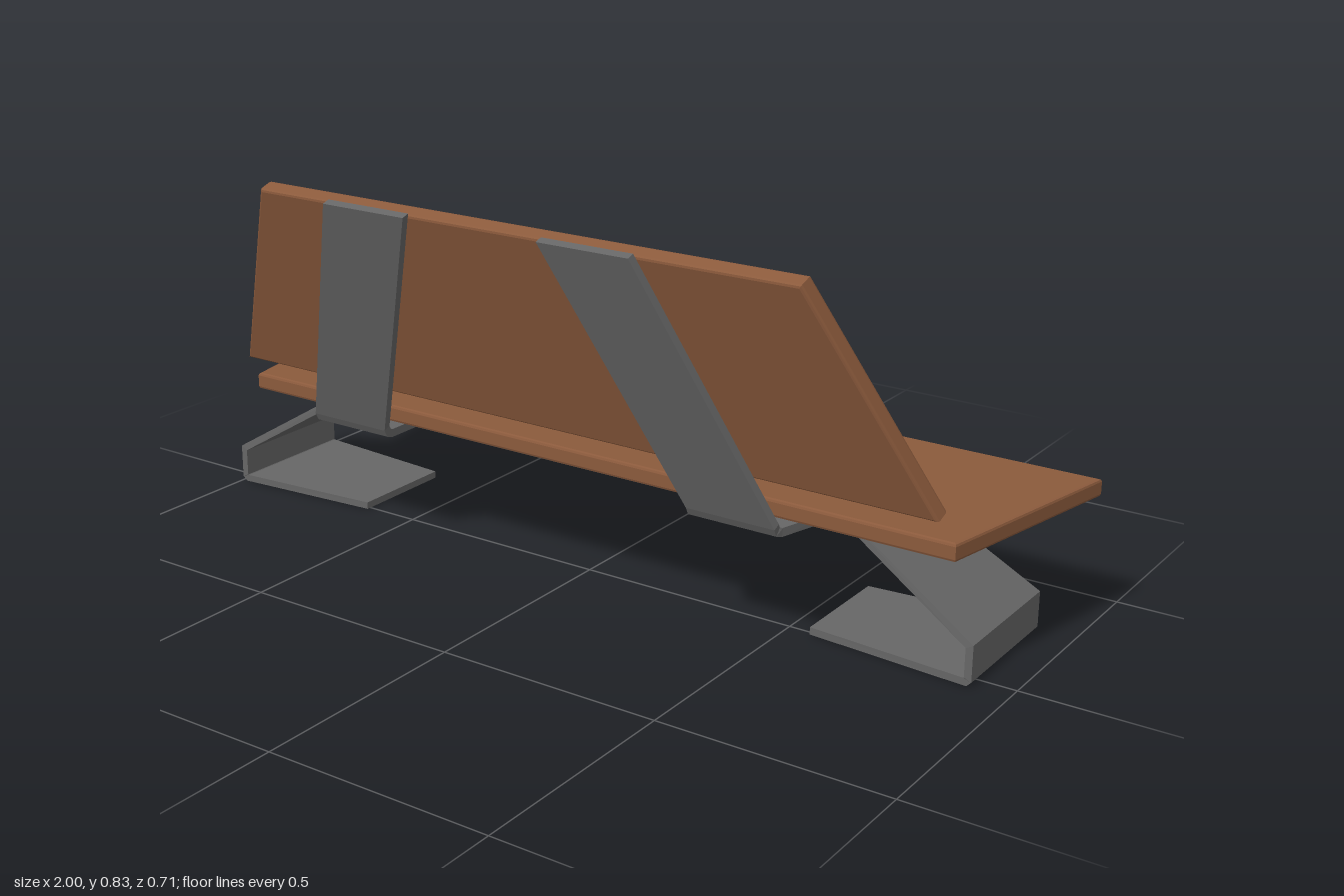
import * as THREE from 'three';

const BOARD_X = 0.03;     // centre of the wooden boards
const SUPPORT_X = -0.038; // centre of the pair of steel supports

// Board with a symmetric trapezoid outline, slightly softened edges, centred on its thickness
function board(bottomHalf, topHalf, height, thickness) {
  const bevel = 0.006;
  const shape = new THREE.Shape([
    new THREE.Vector2(-bottomHalf, 0), new THREE.Vector2(bottomHalf, 0),
    new THREE.Vector2(topHalf, height), new THREE.Vector2(-topHalf, height),
  ]);
  const geo = new THREE.ExtrudeGeometry(shape, {
    depth: thickness - 2 * bevel, bevelEnabled: true, bevelThickness: bevel,
    bevelSize: bevel, bevelOffset: -bevel, bevelSegments: 2,
  });
  return geo.translate(0, 0, bevel - thickness / 2);
}

// Folded plate: follows path rows [u, v, lo, hi] with mitred bends; place() maps (u, v, w) to x, y, z
function foldedPlate(path, thickness, place, flip) {
  const h = thickness / 2;
  const normal = (a, b) => new THREE.Vector2(a[1] - b[1], b[0] - a[0]).normalize();
  const rings = path.map((p, i) => {
    const n1 = normal(path[Math.max(i - 1, 0)], path[Math.max(i, 1)]);
    const last = path.length - 1;
    const n2 = normal(path[Math.min(i, last - 1)], path[Math.min(i + 1, last)]);
    const m = n1.clone().add(n2).normalize();
    m.multiplyScalar(h / m.dot(n1));
    const [u, v, lo, hi] = p;
    return [
      place(u + m.x, v + m.y, lo), place(u + m.x, v + m.y, hi),
      place(u - m.x, v - m.y, hi), place(u - m.x, v - m.y, lo),
    ];
  });
  const pos = [];
  const quad = (a, b, c, d) => {
    const order = flip ? [a, c, b, a, d, c] : [a, b, c, a, c, d];
    order.forEach((q) => pos.push(...q));
  };
  for (let i = 0; i < rings.length - 1; i++) {
    for (let k = 0; k < 4; k++) {
      const n = (k + 1) % 4;
      quad(rings[i][k], rings[i][n], rings[i + 1][n], rings[i + 1][k]);
    }
  }
  quad(...rings[0].slice().reverse());
  quad(...rings[rings.length - 1]);
  const geo = new THREE.BufferGeometry();
  geo.setAttribute('position', new THREE.Float32BufferAttribute(pos, 3));
  geo.computeVertexNormals();
  return geo;
}

export function createModel() {
  const wood = new THREE.MeshStandardMaterial({ color: 0x8b5a3c });
  wood.name = 'wood';
  const steel = new THREE.MeshStandardMaterial({ color: 0x666666 });
  steel.name = 'steel';

  const model = new THREE.Group();
  model.name = 'bench';
  const add = (parent, name, geo, mat) => {
    const mesh = new THREE.Mesh(geo, mat);
    mesh.name = name;
    parent.add(mesh);
    return mesh;
  };

  // Seat: laid flat, widening away from the backrest
  const seat = add(model, 'seat', board(0.88, 0.97, 0.475, 0.038), wood);
  seat.rotation.x = -Math.PI / 2;
  seat.position.set(BOARD_X, 0.305, 0.12);

  // Backrest: leaning, narrowing towards the top
  const back = add(model, 'backrest', board(0.863, 0.648, 0.474, 0.038), wood);
  back.rotation.x = 0.333;
  back.position.set(BOARD_X, 0.383, 0.1475);

  // Upright strap bending into the plate under the seat: [z, y, inner x, outer x]
  const strapPath = [
    [0.345, 0.832, 0.163, 0.373],
    [0.161, 0.287, 0.390, 0.592],
    [0.155, 0.275, 0.390, 0.592],
    [0.143, 0.271, 0.390, 0.595],
    [0.000, 0.271, 0.390, 0.635],
    [-0.230, 0.271, 0.390, 0.635],
  ];
  // Sloping leg, upright edge and foot turned inwards: [x, y, far z, near z]
  const legPath = [
    [0.635, 0.271, -0.230, 0.000],
    [0.648, 0.271, -0.232, 0.002],
    [0.952, 0.086, -0.270, 0.040],
    [0.952, 0.016, -0.270, 0.040],
    [0.946, 0.010, -0.269, 0.039],
    [0.590, 0.010, -0.240, 0.010],
  ];

  // The two mirrored steel supports
  for (const side of [1, -1]) {
    const support = new THREE.Group();
    support.name = side > 0 ? 'leftSupport' : 'rightSupport';
    support.position.x = SUPPORT_X;
    add(support, 'backStrap',
      foldedPlate(strapPath, 0.018, (u, v, w) => [side * w, v, u], side > 0), steel);
    add(support, 'legAndFoot',
      foldedPlate(legPath, 0.016, (u, v, w) => [side * u, v, w], side < 0), steel);
    model.add(support);
  }
  return model;
}
